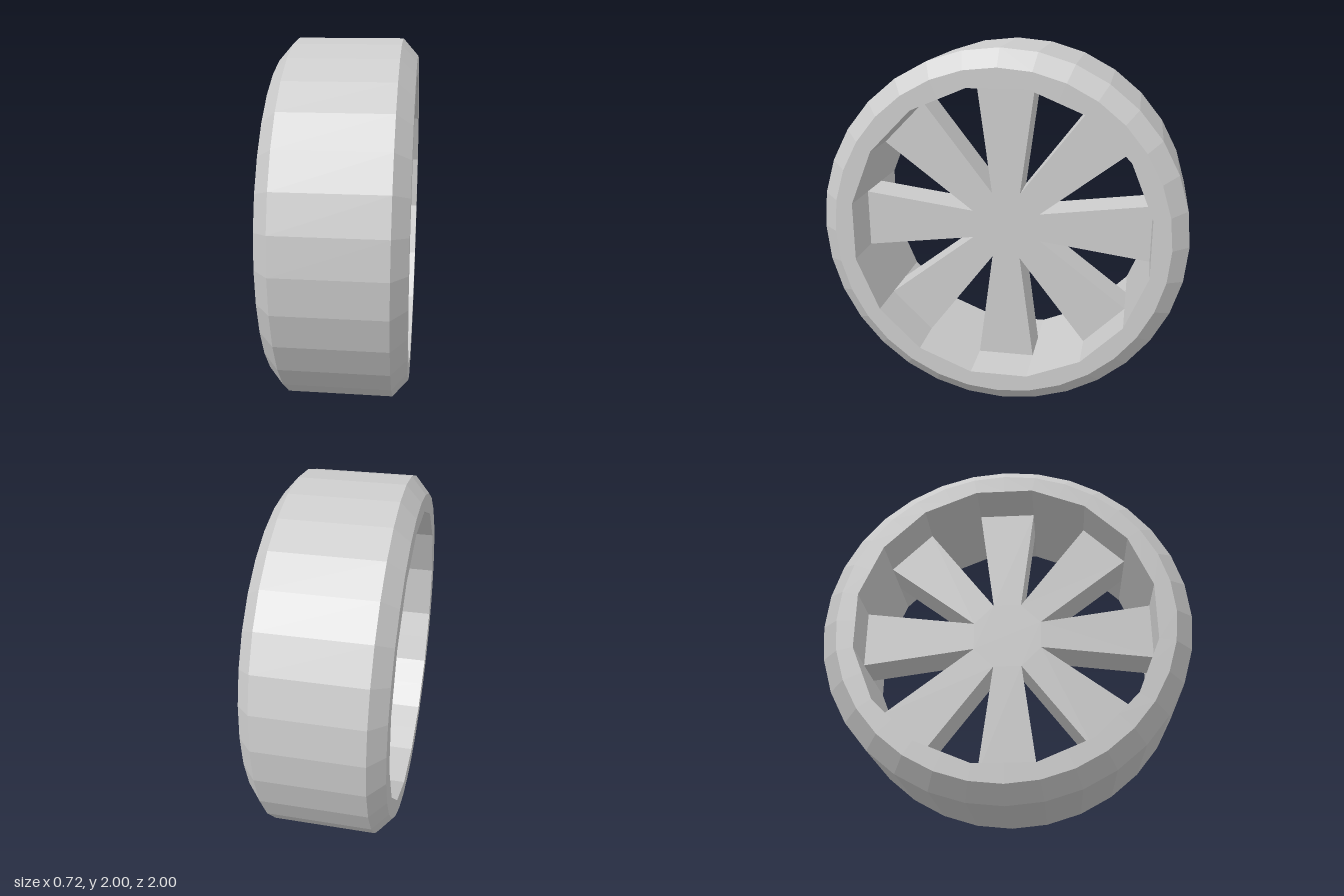
import * as THREE from 'three';

const SPOKES = 8;
const SEGMENTS = 32;
const HOLE = 0.805; // distance from axle to the flats of the 16-sided opening
const HOLE_CORNER = HOLE / Math.cos(Math.PI / 16);

export function createModel() {
  const model = new THREE.Group();
  model.name = 'wheel';
  const material = new THREE.MeshStandardMaterial({ color: 0xcccccc, flatShading: true });

  const add = (name, geometry) => {
    const mesh = new THREE.Mesh(geometry, material);
    mesh.name = name;
    mesh.position.y = 1;
    model.add(mesh);
  };

  // Tyre ring: closed chamfered profile, turned about the axle
  const profile = [
    [0.91, -0.36], [1, -0.28], [1, 0.28], [0.91, 0.36],
    [HOLE, 0.36], [HOLE, -0.36], [0.91, -0.36],
  ].map(([r, h]) => new THREE.Vector2(r, h));
  const ring = new THREE.LatheGeometry(profile, SEGMENTS);

  // Push every second inner vertex out so the opening has 16 flat sides
  const pos = ring.attributes.position;
  for (let i = 0; i < pos.count; i++) {
    const inner = Math.hypot(pos.getX(i), pos.getZ(i)) < 0.85;
    const column = Math.floor(i / profile.length);
    if (inner && column % 2 === 1) {
      const s = HOLE_CORNER / HOLE;
      pos.setX(i, pos.getX(i) * s);
      pos.setZ(i, pos.getZ(i) * s);
    }
  }
  ring.rotateZ(-Math.PI / 2);
  ring.computeVertexNormals();
  add('tyreRing', ring);

  // Hub and flared spokes: one star-shaped plate
  const outline = [];
  const point = (r, a) => outline.push(new THREE.Vector2(r * Math.cos(a), r * Math.sin(a)));
  for (let k = 0; k < SPOKES; k++) {
    const a = (k * 2 * Math.PI) / SPOKES;
    point(HOLE_CORNER, a - Math.PI / 16);
    point(HOLE_CORNER, a + Math.PI / 16);
    point(0.205, a + Math.PI / SPOKES);
  }
  const depth = 0.23;
  const spokes = new THREE.ExtrudeGeometry(new THREE.Shape(outline), { depth, bevelEnabled: false });
  spokes.translate(0, 0, -depth / 2);
  spokes.rotateY(Math.PI / 2);
  add('hubAndSpokes', spokes);

  return model;
}
